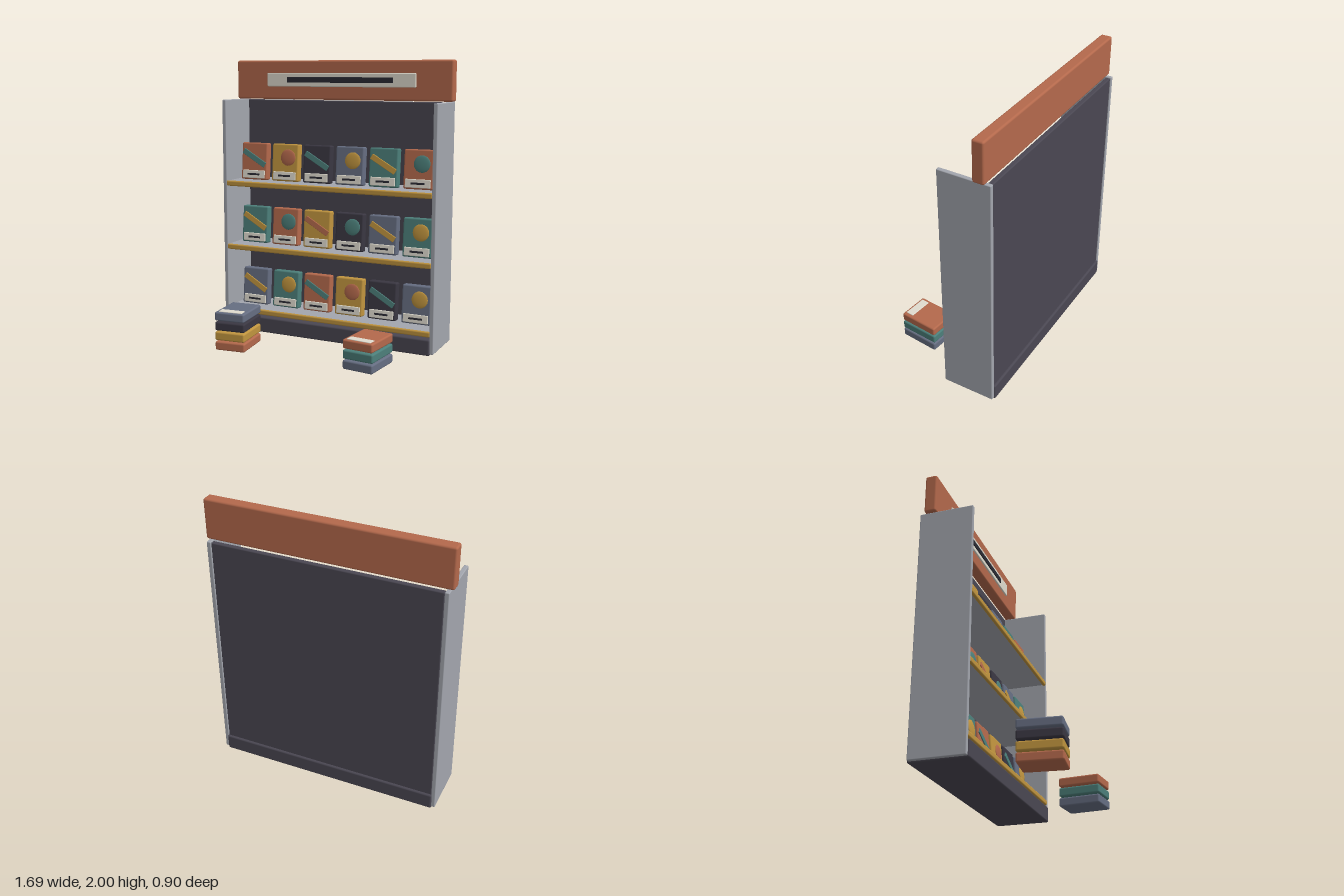
import * as THREE from 'three';
import { RoundedBoxGeometry } from 'three/addons/geometries/RoundedBoxGeometry.js';

const mat = (color) => new THREE.MeshStandardMaterial({ color });
const M = {
  orange: mat(0xb4694c), gold: mat(0xc1953f), dark: mat(0x3a3742), slate: mat(0x666e82),
  teal: mat(0x4c7f7a), grey: mat(0xa3a6ae), panel: mat(0x4a4752), cream: mat(0xe0dccf), ink: mat(0x2a2a33),
};
const COVERS = ['orange', 'gold', 'dark', 'slate', 'teal'];
const ACCENT = { orange: 'teal', gold: 'orange', dark: 'teal', slate: 'gold', teal: 'gold' };

// Softly bevelled box, centred on x, y, z
function box(parent, name, m, [w, h, d], [x, y, z], r = 0.008) {
  const mesh = new THREE.Mesh(new RoundedBoxGeometry(w, h, d, 2, Math.min(r, w / 2.1, h / 2.1, d / 2.1)), M[m]);
  mesh.name = name;
  mesh.position.set(x, y, z);
  parent.add(mesh);
  return mesh;
}

// Upright book leaning slightly back; origin at its bottom front edge
function displayBook(color, withBall) {
  const book = new THREE.Group();
  book.name = 'displayBook';
  box(book, 'cover', color, [0.215, 0.275, 0.065], [0, 0.1375, -0.0325], 0.012);
  box(book, 'label', 'cream', [0.185, 0.06, 0.012], [0, 0.04, 0.001], 0.005);
  box(book, 'labelLine', 'ink', [0.1, 0.014, 0.006], [0, 0.04, 0.007], 0.002);
  if (withBall) {
    const ball = new THREE.Mesh(new THREE.SphereGeometry(0.06, 14, 10), M[ACCENT[color]]);
    ball.name = 'coverDisc';
    ball.scale.z = 0.15;
    ball.position.set(0.025, 0.175, 0);
    book.add(ball);
  } else {
    const strip = box(book, 'coverStripe', ACCENT[color], [0.21, 0.042, 0.012], [0, 0.162, 0.001], 0.004);
    strip.rotation.z = -0.52;
  }
  book.rotation.x = -0.09;
  return book;
}

// Pile of lying books, listed from the bottom up
function bookStack(name, colors, x, z, turn) {
  const stack = new THREE.Group();
  stack.name = name;
  colors.forEach((color, i) => {
    const book = new THREE.Group();
    book.name = 'stackedBook';
    box(book, 'cover', color, [0.222, 0.062, 0.292], [0, 0.031, 0], 0.012);
    if (i === colors.length - 1) box(book, 'label', 'cream', [0.175, 0.01, 0.06], [0, 0.062, 0.1], 0.004);
    book.position.y = i * 0.07;
    book.rotation.y = turn * (i % 2 ? 0.9 : 1);
    stack.add(book);
  });
  stack.position.set(x, 0, z);
  return stack;
}

export function createModel() {
  const model = new THREE.Group();
  model.name = 'bookDisplay';

  // Cabinet
  box(model, 'base', 'panel', [1.6, 0.115, 0.395], [0, 0.0575, -0.2575], 0.012);
  box(model, 'backPanel', 'panel', [1.59, 1.7, 0.035], [0, 0.86, -0.4225]);
  for (const s of [-1, 1]) {
    box(model, s > 0 ? 'leftSide' : 'rightSide', 'grey', [0.03, 1.705, 0.375], [s * 0.81, 0.8625, -0.2575], 0.006);
  }

  // Header sign
  box(model, 'header', 'orange', [1.69, 0.283, 0.083], [0, 1.8585, -0.37], 0.014);
  box(model, 'headerPlate', 'cream', [1.165, 0.1, 0.016], [0, 1.86, -0.325], 0.007);
  box(model, 'headerBar', 'ink', [0.83, 0.04, 0.01], [0, 1.86, -0.316], 0.003);

  // Shelves with rounded front lips, each holding six books
  [[0.168, 3], [0.645, 4], [1.122, 0]].forEach(([top, first]) => {
    box(model, 'shelf', 'grey', [1.59, 0.03, 0.335], [0, top - 0.017, -0.2475], 0.005);
    box(model, 'shelfLip', 'gold', [1.6, 0.04, 0.024], [0, top - 0.02, -0.08], 0.011);
    for (let i = 0; i < 6; i++) {
      const book = displayBook(COVERS[(first + i) % 5], i % 2 === 1);
      book.position.set(-0.645 + i * 0.258, top, -0.208);
      model.add(book);
    }
  });

  // Floor stacks in front
  model.add(bookStack('rightStack', ['orange', 'gold', 'dark', 'slate'], -0.497, 0.29, 0.11));
  model.add(bookStack('leftStack', ['slate', 'teal', 'orange'], 0.495, 0.29, -0.11));
  return model;
}
